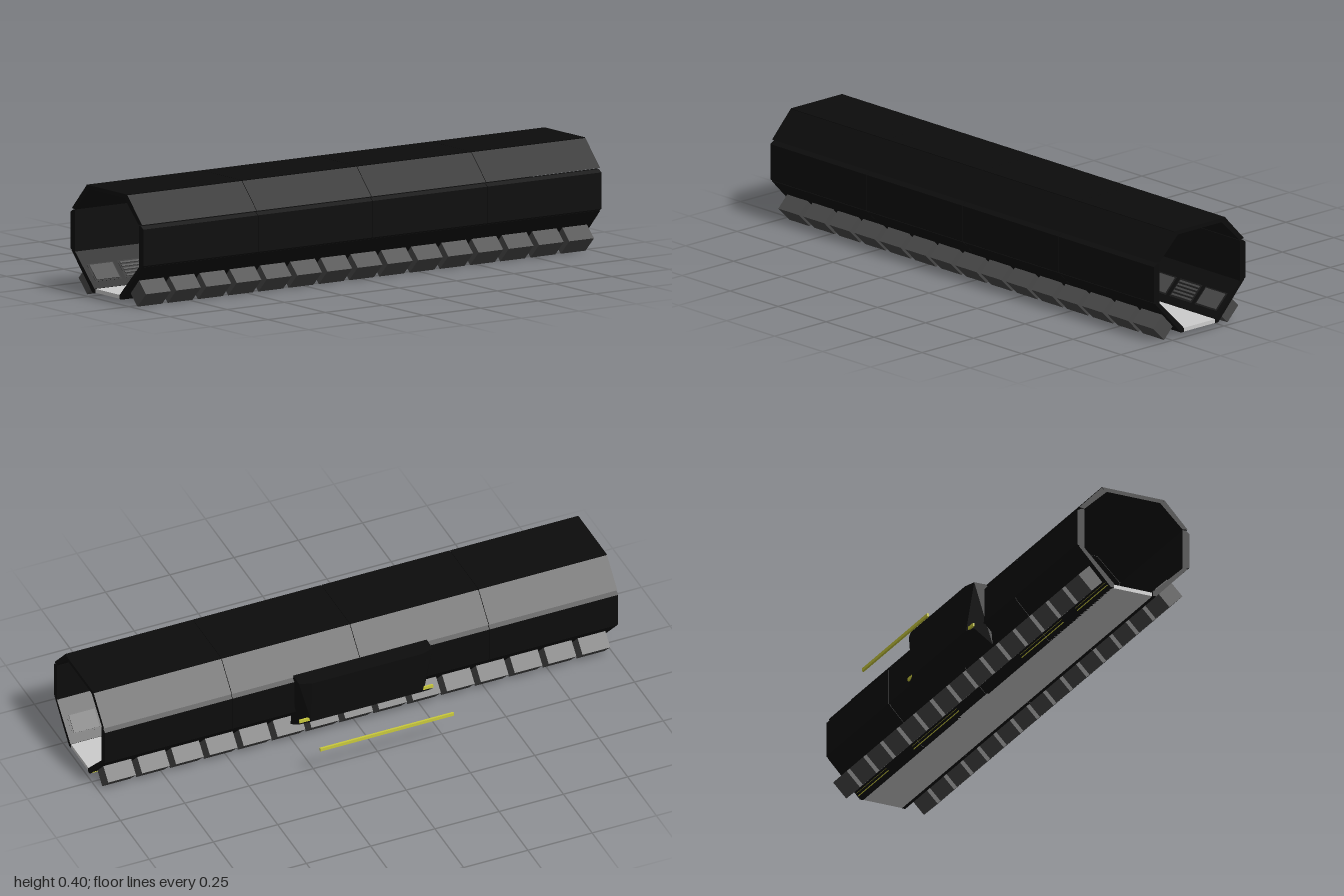
import * as THREE from 'three';

const material = (color) => new THREE.MeshStandardMaterial({ color, flatShading: true });
const MID_Z = 0.115; // the tube is symmetric about this z

// Extrude a [z, y] profile along x, from x0 to x1
function extrudeX(profile, x0, x1) {
  const shape = new THREE.Shape(profile.map(([z, y]) => new THREE.Vector2(-z, y)));
  const geometry = new THREE.ExtrudeGeometry(shape, { depth: x1 - x0, bevelEnabled: false });
  return geometry.rotateY(Math.PI / 2).translate(x0, 0, 0);
}

const mirrorProfile = (profile) => profile.map(([z, y]) => [2 * MID_Z - z, y]);

export function createModel() {
  const model = new THREE.Group();
  const shell = material(0x0c0c0c);
  const frame = material(0x1a1a1a);
  const grey = material(0x484848);
  const floorGrey = material(0xcccccc);
  const yellow = material(0xc8c83c);

  const add = (name, geometry, mat, parent = model) => {
    const mesh = new THREE.Mesh(geometry, mat);
    mesh.name = name;
    parent.add(mesh);
    return mesh;
  };
  const addBox = (name, size, position, mat, parent) => {
    const mesh = add(name, new THREE.BoxGeometry(...size), mat, parent);
    mesh.position.set(...position);
    return mesh;
  };

  // Wall panels: four bays, each side of the octagon a thick slab
  const sideProfiles = {
    upperSlope: [[0.33, 0.305], [0.24, 0.4], [0.222, 0.386], [0.31, 0.302]],
    sideWall: [[0.338, 0.29], [0.323, 0.3], [0.31, 0.3], [0.31, 0.15], [0.323, 0.15], [0.338, 0.158]],
    lowerSlope: [[0.332, 0.152], [0.205, 0.018], [0.192, 0.018], [0.192, 0.033], [0.31, 0.15]],
  };
  const bays = 4;
  const bayLength = 2 / bays;
  for (let i = 0; i < bays; i++) {
    const x0 = -1 + i * bayLength + (i > 0 ? 0.001 : 0);
    const x1 = -1 + (i + 1) * bayLength - (i < bays - 1 ? 0.001 : 0.003);
    for (const [name, profile] of Object.entries(sideProfiles)) {
      add(name + 'Front', extrudeX(profile, x0, x1), shell);
      add(name + 'Back', extrudeX(mirrorProfile(profile), x0, x1), shell);
    }
    add('ceiling', extrudeX([[0.24, 0.402], [-0.01, 0.402], [0.005, 0.387], [0.225, 0.387]], x0, x1), shell);
  }

  // Floor plate
  addBox('floor', [1.99, 0.014, 0.167], [0, 0.025, MID_Z], floorGrey);

  // Equipment boxes along both lower slopes, every third one with a grille
  const count = 15;
  const pitch = 0.1318;
  for (const side of [1, -1]) {
    for (let i = 0; i < count; i++) {
      const box = new THREE.Group();
      box.name = 'equipmentBox';
      // Local +y points into the tube
      box.position.set((i - (count - 1) / 2) * pitch, 0.054, MID_Z + side * 0.152);
      box.rotation.x = -side * Math.PI / 4;
      const grille = i % 3 === 1;
      addBox('boxBody', [0.108, 0.072, 0.074], [0, -0.004, 0], grey, box);
      addBox('boxFrame', [0.114, 0.009, 0.077], [0, 0.034, 0], frame, box);
      if (grille) {
        for (let s = 0; s < 5; s++) {
          addBox('grilleSlat', [0.1, 0.004, 0.007], [0, 0.0395, (s - 2) * 0.014], grey, box);
        }
      } else {
        addBox('boxLid', [0.1, 0.004, 0.066], [0, 0.0395, 0], grey, box);
      }
      model.add(box);
    }
  }

  // Yellow strips by the foot of the back slope
  for (const [x0, x1] of [[-0.99, -0.75], [-0.64, -0.31], [0.19, 0.55], [0.75, 0.99]]) {
    addBox('lowerStrip', [x1 - x0, 0.01, 0.008], [(x0 + x1) / 2, 0.031, 0.019], yellow);
    addBox('upperStrip', [x1 - x0, 0.01, 0.008], [(x0 + x1) / 2, 0.04, 0.012], yellow);
  }

  // Back housing with chamfered outer ends
  const housing = extrudeX([
    [-0.095, 0.31], [-0.148, 0.309], [-0.163, 0.308], [-0.158, 0.135], [-0.148, 0.128], [-0.075, 0.08],
  ], -0.26, 0.26);
  const pos = housing.attributes.position;
  for (let i = 0; i < pos.count; i++) {
    if (pos.getZ(i) < -0.153) pos.setX(i, pos.getX(i) * 0.83);
  }
  housing.computeVertexNormals();
  add('backHousing', housing, shell);
  addBox('housingStrip', [0.52, 0.012, 0.007], [0, 0.143, -0.15], yellow);
  addBox('outerStrip', [0.52, 0.012, 0.008], [0, 0.143, -0.331], yellow);

  // Ceiling hanger: waisted arms with a grey panel between them
  const arm = [
    [-0.011, 0.39], [0.011, 0.39], [0.006, 0.365], [0.006, 0.345], [0.009, 0.338],
    [0.009, 0.325], [0.005, 0.32], [-0.008, 0.32], [-0.008, 0.34], [-0.005, 0.362],
  ];
  for (const z of [0.148, 0.068]) {
    for (const x of [-0.25, 0.22]) {
      add('hangerArm', extrudeX(arm.map(([dz, y]) => [z + dz, y]), x, x + 0.03), shell);
    }
  }
  addBox('hangerPanel', [0.5, 0.014, 0.076], [0, 0.334, 0.108], grey);

  return model;
}
